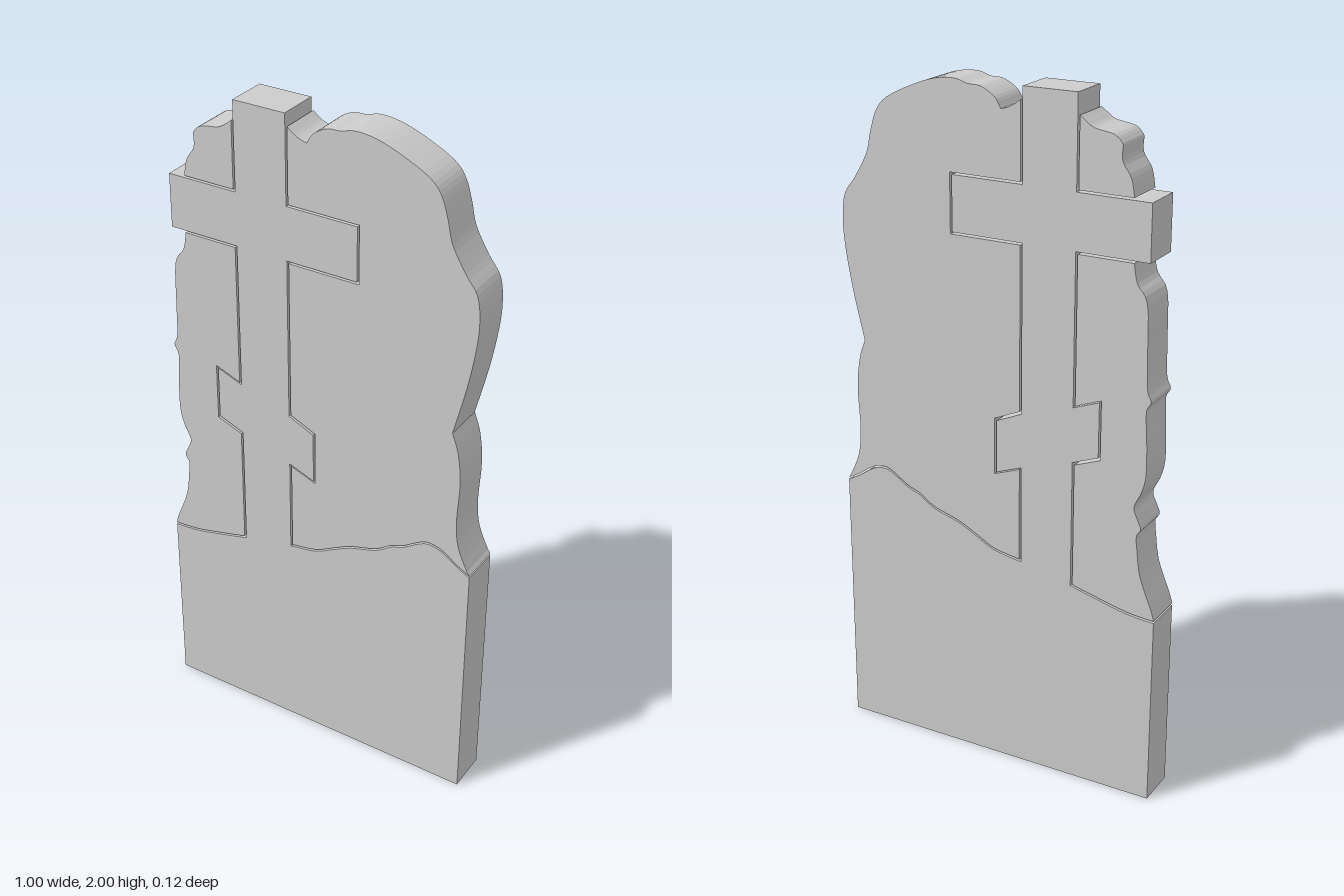
import * as THREE from 'three';

const DEPTH = 0.122;
const GAP = 0.006; // narrow joint between the cross and the rough stone

// Smooth run of points through a few control points
function smooth(points, perSpan = 4) {
  const curve = new THREE.SplineCurve(points.map(([x, y]) => new THREE.Vector2(x, y)));
  return curve.getPoints((points.length - 1) * perSpan).map((p) => [p.x, p.y]);
}

const raise = (points) => points.map(([x, y]) => [x, y + GAP]);

function slab(name, outline, material) {
  const shape = new THREE.Shape(outline.map(([x, y]) => new THREE.Vector2(x, y)));
  const geometry = new THREE.ExtrudeGeometry(shape, { depth: DEPTH, bevelEnabled: false });
  geometry.translate(0, 0, -DEPTH / 2);
  const mesh = new THREE.Mesh(geometry, material);
  mesh.name = name;
  return mesh;
}

export function createModel() {
  const group = new THREE.Group();
  group.name = 'gravestone';
  const stone = new THREE.MeshStandardMaterial({ color: 0xcccccc });
  stone.name = 'grey stone';

  // Cross dimensions
  const L = -0.242, R = -0.084;
  const barL = -0.455, barR = 0.13, barLow = 1.588, barHigh = 1.745;

  // Rolling top edge of the base, on both sides of the shaft
  const hillRight = smooth([
    [0.498, 0.783], [0.46, 0.803], [0.41, 0.836], [0.37, 0.845], [0.34, 0.835], [0.29, 0.803],
    [0.25, 0.787], [0.2, 0.755], [0.12, 0.73], [0.06, 0.70], [0, 0.67], [R, 0.655],
  ]);
  const hillLeft = smooth([[L, 0.62], [-0.32, 0.6], [-0.42, 0.577], [-0.5, 0.57]]);

  // Base and three-bar cross in one piece
  group.add(slab('baseAndCross', [
    [-0.5, 0], [0.498, 0], ...hillRight,
    [R, 0.945], [-0.005, 0.915], [-0.005, 1.07], [R, 1.105],
    [R, barLow], [barR, barLow], [barR, barHigh], [R, barHigh],
    [R, 2], [L, 2],
    [L, barHigh], [barL, barHigh], [barL, barLow], [L, barLow],
    [L, 1.155], [-0.32, 1.185], [-0.32, 1.025], [L, 0.995],
    ...hillLeft,
  ], stone));

  // Rough stone right of the shaft, wrapped round the bar ends
  const g = GAP;
  group.add(slab('roughStoneRight', [
    ...raise(hillRight).map(([x, y]) => [Math.max(x, R + g), y]),
    [R + g, 0.945 - g], [-0.005 + g, 0.915 - g], [-0.005 + g, 1.07 + g], [R + g, 1.105 + g],
    [R + g, barLow - g], [barR + g, barLow - g], [barR + g, barHigh + g], [R + g, barHigh + g],
    ...smooth([[R + g, 1.965], [-0.05, 1.945], [-0.02, 1.935]]),
    ...smooth([
      [-0.017, 1.94], [0, 1.965], [0.04, 1.987], [0.08, 1.99], [0.12, 2], [0.18, 1.994],
      [0.25, 1.97], [0.33, 1.93], [0.365, 1.89], [0.385, 1.83], [0.4, 1.77], [0.44, 1.70],
      [0.475, 1.65], [0.485, 1.58], [0.48, 1.5], [0.46, 1.38], [0.425, 1.23],
    ]),
    ...smooth([
      [0.427, 1.225], [0.445, 1.17], [0.455, 1.08], [0.45, 0.95], [0.46, 0.87], [0.49, 0.8],
    ]),
  ], stone));

  // Rough stone left of the shaft, below the main bar
  group.add(slab('roughStoneLeft', [
    ...smooth([
      [-0.41, barLow - g], [-0.42, 1.53], [-0.45, 1.48], [-0.455, 1.35], [-0.458, 1.25],
      [-0.47, 1.215], [-0.458, 1.19], [-0.458, 1.15], [-0.462, 1.08], [-0.462, 1.0],
      [-0.45, 0.95], [-0.43, 0.905], [-0.442, 0.87], [-0.452, 0.843], [-0.44, 0.82],
      [-0.443, 0.78], [-0.455, 0.7], [-0.49, 0.61], [-0.499, 0.58],
    ]),
    ...raise(hillLeft).reverse().map(([x, y]) => [Math.min(x, L - g), y]),
    [L - g, 0.995 - g], [-0.32 - g, 1.025 - g], [-0.32 - g, 1.185 + g], [L - g, 1.155 + g],
    [L - g, barLow - g],
  ], stone));

  // Rough stone left of the shaft, above the main bar
  group.add(slab('roughStoneTopLeft', [
    [L - g, barHigh + g],
    ...smooth([[L - g, 1.943], [-0.265, 1.93], [-0.29, 1.915], [-0.345, 1.905], [-0.368, 1.885]]),
    ...smooth([[-0.37, 1.88], [-0.37, 1.84], [-0.395, 1.8], [-0.405, barHigh + g]]),
  ], stone));

  return group;
}
